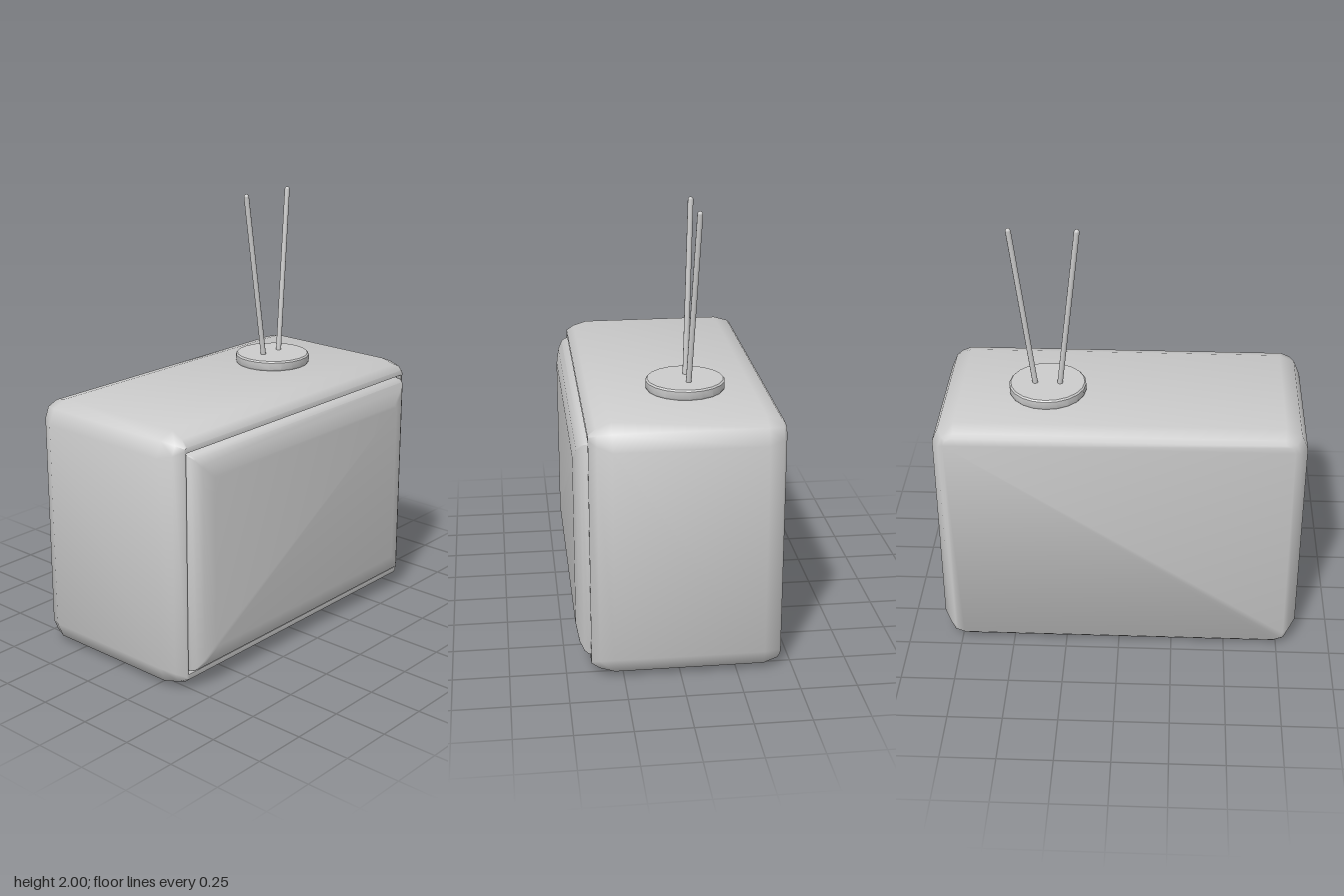
import * as THREE from 'three';
import { toCreasedNormals } from 'three/addons/utils/BufferGeometryUtils.js';

const material = new THREE.MeshStandardMaterial({ color: 0xcccccc });

// Rounded rectangle outline, counter-clockwise seen from +z, two segments per corner
function outline([z, w, h, r]) {
  const points = [];
  for (let corner = 0; corner < 4; corner++) {
    const sx = corner === 0 || corner === 3 ? 1 : -1;
    const sy = corner < 2 ? 1 : -1;
    for (let i = 0; i <= 2; i++) {
      const a = (corner + i / 2) * Math.PI / 2;
      points.push([sx * (w - r) + r * Math.cos(a), sy * (h - r) + r * Math.sin(a), z]);
    }
  }
  return points;
}

// Skins sections [z, halfWidth, halfHeight, cornerRadius] in order and caps both ends
function loft(sections, crease) {
  const n = 12, position = [], index = [];
  sections.forEach(s => outline(s).forEach(p => position.push(...p)));
  for (let s = 0; s < sections.length - 1; s++) {
    for (let i = 0; i < n; i++) {
      const a = s * n + i, b = s * n + (i + 1) % n;
      index.push(a, b, b + n, a, b + n, a + n);
    }
  }
  const last = (sections.length - 1) * n;
  for (let i = 1; i < n - 1; i++) {
    index.push(0, i + 1, i);
    index.push(last, last + i, last + i + 1);
  }
  const geometry = new THREE.BufferGeometry();
  geometry.setAttribute('position', new THREE.Float32BufferAttribute(position, 3));
  geometry.setIndex(index);
  return toCreasedNormals(geometry, crease);
}

export function createModel() {
  const model = new THREE.Group();
  const add = (name, geometry, x, y, z) => {
    const mesh = new THREE.Mesh(geometry, material);
    mesh.name = name;
    mesh.position.set(x, y, z);
    model.add(mesh);
    return mesh;
  };

  // Cabinet with soft edges and a shallow recess for the screen
  add('cabinet', loft([
    [-0.452, 0.78, 0.55, 0.04],
    [-0.437, 0.805, 0.567, 0.07],
    [-0.37, 0.84, 0.585, 0.1],
    [0.29, 0.84, 0.585, 0.1],
    [0.355, 0.81, 0.562, 0.06],
    [0.39, 0.775, 0.535, 0.015],
    [0.39, 0.764, 0.511, 0.003],
    [0.365, 0.764, 0.511, 0.003],
  ], 1.0), 0, 0.588, 0);

  // Bulging screen
  add('screen', loft([
    [0.36, 0.753, 0.5, 0.003],
    [0.4, 0.75, 0.497, 0.005],
    [0.418, 0.74, 0.487, 0.008],
    [0.437, 0.71, 0.457, 0.012],
    [0.45, 0.65, 0.4, 0.015],
  ], 0.9), 0, 0.588, 0);

  // Antenna base disc
  const disc = [[0, 0], [0.172, 0], [0.177, 0.008], [0.177, 0.04], [0.17, 0.047], [0, 0.047]];
  add('antennaBase', toCreasedNormals(
    new THREE.LatheGeometry(disc.map(p => new THREE.Vector2(...p)), 20), 0.6), 0.34, 1.172, -0.075);

  // Pair of splayed antenna rods with rounded tips
  for (const side of [-1, 1]) {
    const foot = new THREE.Vector3(0.34 + side * 0.055, 1.2, -0.083);
    const tip = new THREE.Vector3(0.34 + side * 0.148, 1.988, -0.115);
    const axis = tip.clone().sub(foot);
    const middle = foot.clone().add(tip).multiplyScalar(0.5);
    const rod = add(side > 0 ? 'leftAntenna' : 'rightAntenna',
      new THREE.CapsuleGeometry(0.0125, axis.length(), 3, 10), middle.x, middle.y, middle.z);
    rod.quaternion.setFromUnitVectors(new THREE.Vector3(0, 1, 0), axis.normalize());
  }
  return model;
}
